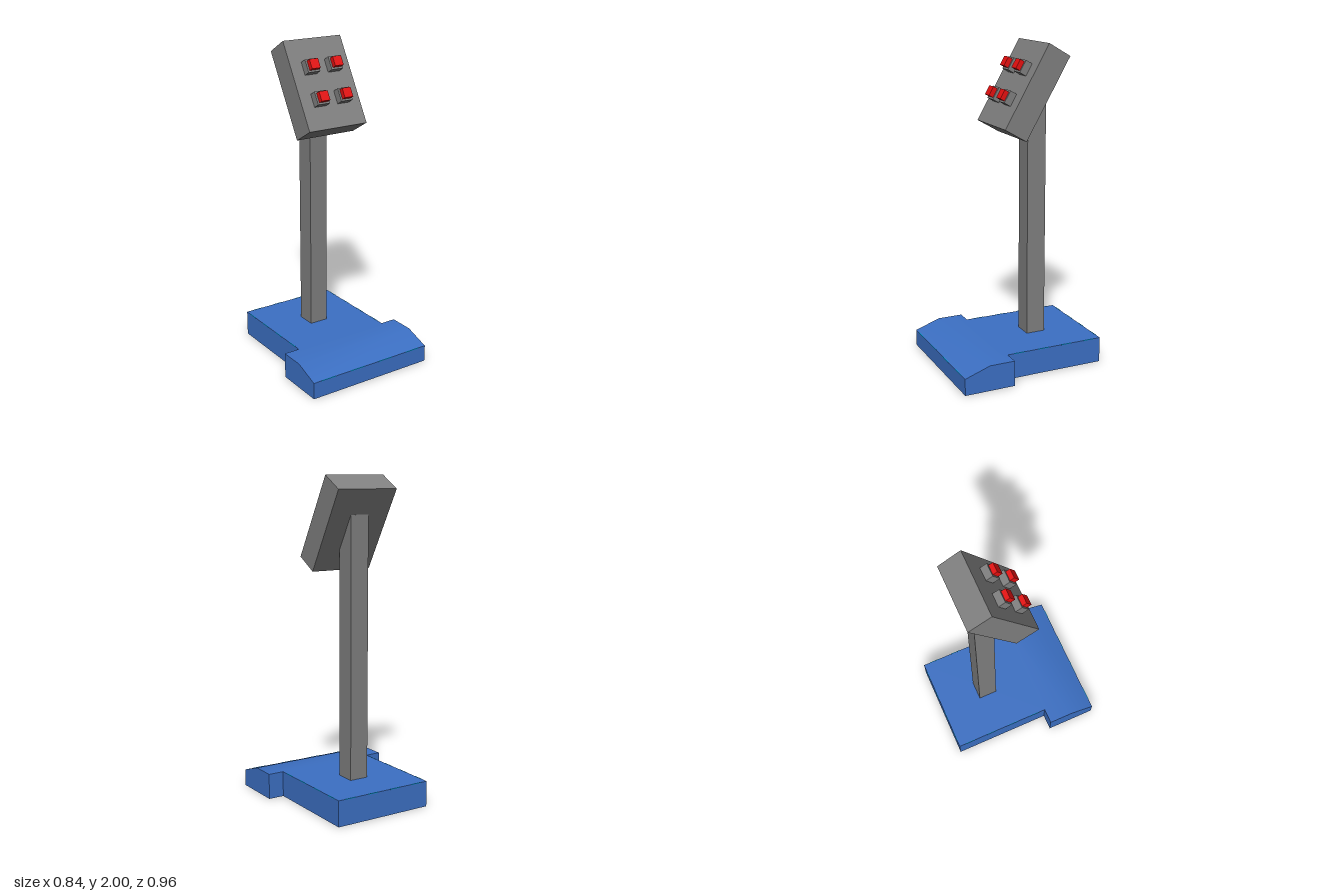
import * as THREE from 'three';
import { toCreasedNormals } from 'three/addons/utils/BufferGeometryUtils.js';

const material = (name, color) => {
  const m = new THREE.MeshStandardMaterial({ color });
  m.name = name;
  return m;
};

export function createModel() {
  const grey = material('grey metal', 0x808080);
  const blue = material('blue base', 0x3c70c4);
  const red = material('red button', 0xf01010);
  const cyan = material('cyan trim', 0x00a8e0);
  const model = new THREE.Group();
  model.name = 'controlStand';

  const box = (name, parent, mat, size, pos) => {
    const mesh = new THREE.Mesh(new THREE.BoxGeometry(...size), mat);
    mesh.name = name;
    mesh.position.set(...pos);
    parent.add(mesh);
    return mesh;
  };

  // Base: narrow rear slab and a wider front with a softly shaded slope
  const base = new THREE.Group();
  base.name = 'base';
  model.add(base);
  box('rearBase', base, blue, [0.64, 0.16, 0.64], [0, 0.08, -0.16]);
  const profile = new THREE.Shape([[-0.16, 0], [-0.16, 0.16], [-0.32, 0.16], [-0.48, 0.105], [-0.48, 0]]
    .map(([x, y]) => new THREE.Vector2(x, y)));
  const wide = new THREE.ExtrudeGeometry(profile, { depth: 0.84, bevelEnabled: false });
  wide.translate(0, 0, -0.42).rotateY(Math.PI / 2);
  const front = new THREE.Mesh(toCreasedNormals(wide, 0.5), blue);
  front.name = 'frontBase';
  base.add(front);

  // Hairline trim dashes along the base edges
  const t = 0.004;
  for (const k of [-0.75, -0.25, 0.25, 0.75]) {
    box('rearTrim', base, cyan, [0.07, t, t], [k * 0.32, 0.159, -0.479]);
    box('frontTrim', base, cyan, [0.1, t, t], [k * 0.42, 0.104, 0.479]);
    for (const s of [-1, 1]) {
      box('sideTrim', base, cyan, [t, t, 0.07], [s * 0.319, 0.159, -0.16 + k * 0.32]);
    }
  }

  // Square post
  box('post', model, grey, [0.122, 1.63, 0.122], [0, 0.955, -0.156]);

  // Tilted head with four push buttons
  const head = new THREE.Group();
  head.name = 'head';
  head.position.set(0, 1.715, -0.09);
  head.rotation.x = -Math.PI / 6;
  model.add(head);
  box('panel', head, grey, [0.408, 0.566, 0.16], [0, 0, 0]);
  for (const x of [-0.082, 0.082]) {
    for (const y of [-0.1, 0.1]) {
      box('buttonBase', head, grey, [0.082, 0.082, 0.056], [x, y, 0.098]);
      box('button', head, red, [0.06, 0.06, 0.04], [x, y, 0.136]);
    }
  }
  return model;
}
